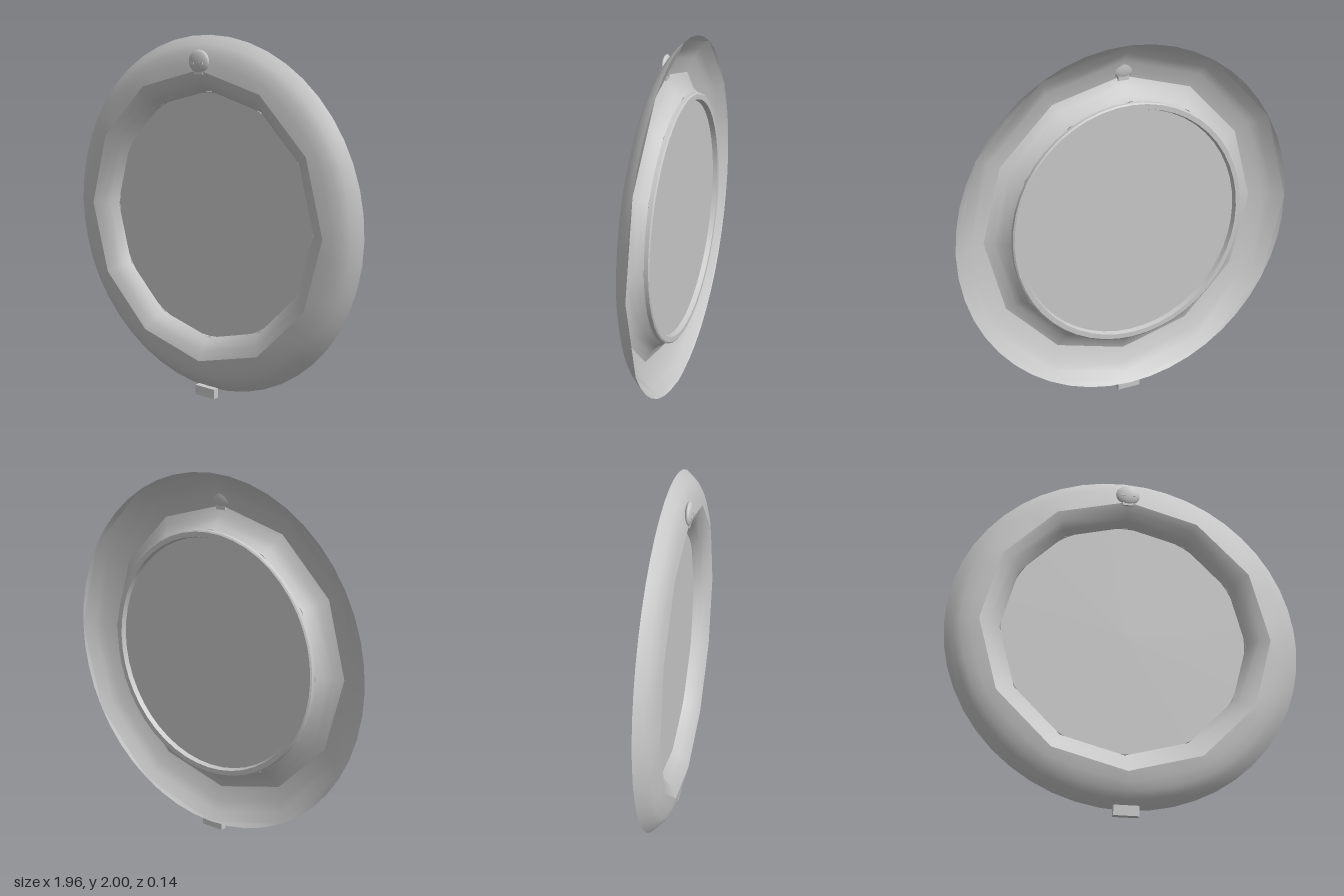
import * as THREE from 'three';
import { mergeVertices } from 'three/addons/utils/BufferGeometryUtils.js';

const CENTRE_Y = 1.02;

// Profile of [radius, z] pairs spun about the z axis
function spin(profile, sides) {
  const pts = profile.map(([r, z]) => new THREE.Vector2(r, z));
  return new THREE.LatheGeometry(pts, sides).rotateX(Math.PI / 2);
}

// Lathe that is round outside and eases into a twelve-sided edge inside
function roundToDodecagon(profile, sides, outer, inner) {
  const geo = spin(profile, sides);
  const pos = geo.attributes.position;
  const step = Math.PI / 6;
  for (let i = 0; i < pos.count; i++) {
    const x = pos.getX(i), y = pos.getY(i);
    const w = ((outer - Math.hypot(x, y)) / (outer - inner)) ** 2;
    const a = (((Math.atan2(y, x) + Math.PI * 2 + 1e-6) % step) - step / 2);
    const k = 1 + w * (Math.cos(step / 2) / Math.cos(a) - 1);
    pos.setXY(i, x * k, y * k);
  }
  geo.deleteAttribute('uv');
  geo.deleteAttribute('normal');
  const merged = mergeVertices(geo, 1e-4);
  merged.computeVertexNormals();
  return merged;
}

export function createModel() {
  const grey = new THREE.MeshStandardMaterial({ color: 0xc8c8c8, side: THREE.DoubleSide });
  grey.name = 'lightGrey';
  const model = new THREE.Group();
  model.name = 'roundFramedMirror';
  const add = (name, geo, x, y, z) => {
    const mesh = new THREE.Mesh(geo, grey);
    mesh.name = name;
    mesh.position.set(x, y, z);
    model.add(mesh);
    return mesh;
  };

  // Curved frame, open at the back
  add('frameShell', roundToDodecagon(
    [[0.98, -0.053], [0.965, -0.035], [0.935, -0.003], [0.9, 0.022], [0.85, 0.038], [0.8, 0.048]],
    48, 0.98, 0.8), 0, CENTRE_Y, 0);

  // Faceted lining behind the frame
  add('frameLining', spin([[0.98, -0.053], [0.93, -0.01], [0.88, 0.02], [0.8, 0.042]], 12), 0, CENTRE_Y, 0);

  // Twelve-sided lip sloping in to the glass
  add('innerLip', spin([[0.8, 0.048], [0.75, 0.028], [0.71, -0.005], [0.685, -0.046]], 12), 0, CENTRE_Y, 0);

  // Glass and the rim that holds it at the back
  add('glass', new THREE.CircleGeometry(0.675, 48), 0, CENTRE_Y, -0.045);
  const rim = [[0.68, -0.046], [0.68, -0.068], [0.672, -0.074], [0.645, -0.074], [0.638, -0.046]];
  for (let i = 0; i < rim.length - 1; i++) {
    add('backRim', spin([rim[i], rim[i + 1]], 48), 0, CENTRE_Y, 0);
  }

  // Shallow round badge with a neck and two slots
  const dome = new THREE.SphereGeometry(0.068, 28, 12);
  dome.scale(1, 0.9, 0.3);
  add('badge', dome, 0, 1.865, 0.044);
  add('badgeNeck', new THREE.BoxGeometry(0.06, 0.03, 0.02), 0, 1.812, 0.042);
  for (const side of [-1, 1]) {
    add('badgeSlot', new THREE.BoxGeometry(0.022, 0.012, 0.006), side * 0.03, 1.856, 0.063);
  }

  // Small foot under the frame
  add('foot', new THREE.BoxGeometry(0.135, 0.055, 0.035), 0, 0.0275, -0.02);

  return model;
}
